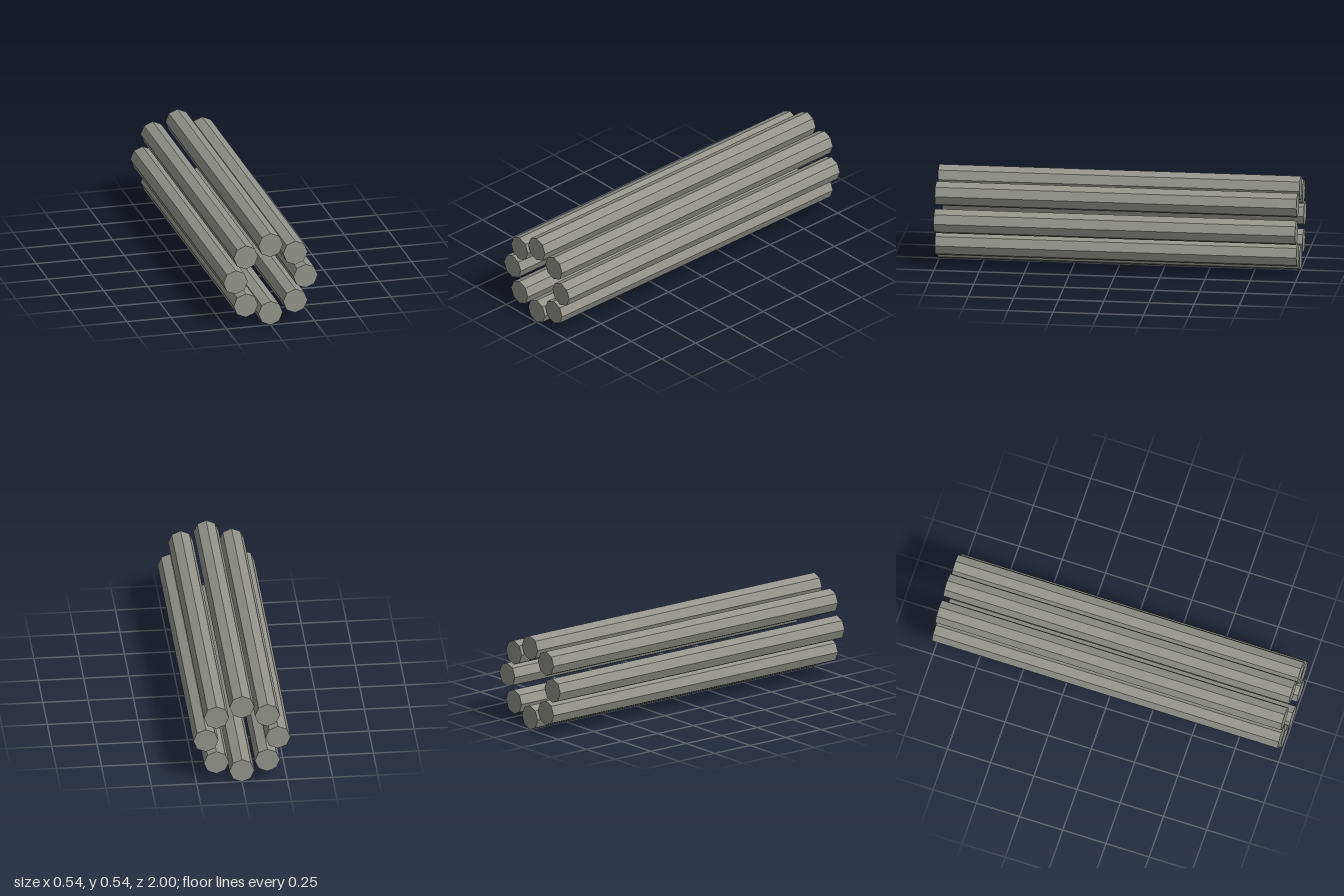
import * as THREE from 'three';

export function createModel() {
  const model = new THREE.Group();
  model.name = 'rodBundle';

  const rodCount = 8;
  const rodRadius = 0.069;
  const ringRadius = 0.199;
  const length = 2;

  const material = new THREE.MeshStandardMaterial({ color: 0x94948d, flatShading: true });

  // Eight-sided rod lying along z
  const rodGeometry = new THREE.CylinderGeometry(rodRadius, rodRadius, length, 8);
  rodGeometry.rotateX(Math.PI / 2);

  // Ring of parallel rods, all keeping the same orientation
  for (let i = 0; i < rodCount; i++) {
    const angle = (i / rodCount) * Math.PI * 2;
    const rod = new THREE.Mesh(rodGeometry, material);
    rod.name = `rod${i + 1}`;
    rod.position.set(
      Math.cos(angle) * ringRadius,
      ringRadius + rodRadius + Math.sin(angle) * ringRadius,
      0
    );
    model.add(rod);
  }

  return model;
}
